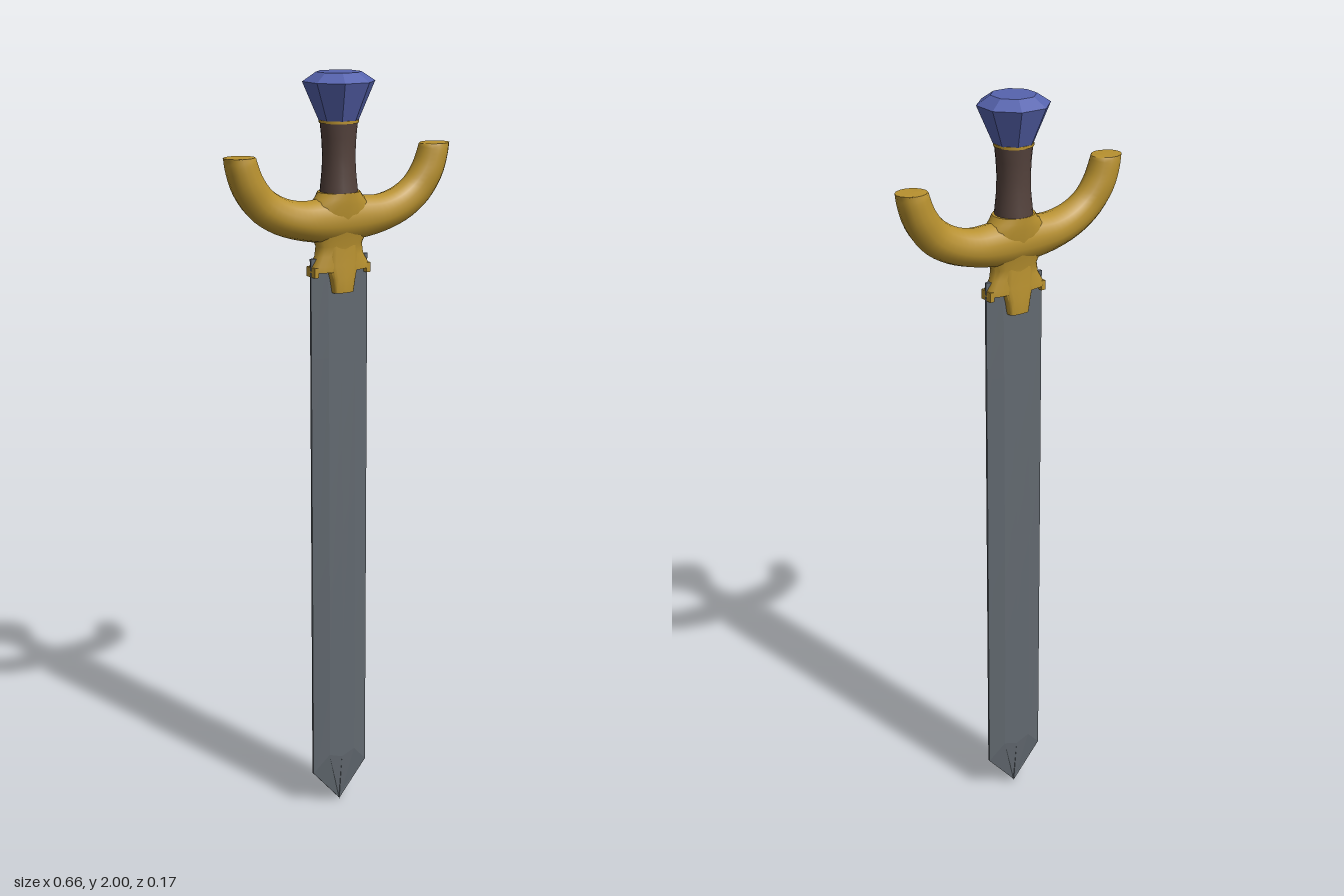
import * as THREE from 'three';
import { toCreasedNormals } from 'three/addons/utils/BufferGeometryUtils.js';

const CX = -0.004; // blade, grip and pommel axis

// Skin a list of equal-length point rings and cap both ends
function loft(rings, crease) {
  const n = rings[0].length, pos = [], index = [];
  rings.forEach(r => r.forEach(p => pos.push(p.x, p.y, p.z)));
  for (let i = 0; i < rings.length - 1; i++) {
    for (let j = 0; j < n; j++) {
      const a = i * n + j, b = i * n + (j + 1) % n;
      index.push(a, b, b + n, a, b + n, a + n);
    }
  }
  [0, rings.length - 1].forEach((ri, end) => {
    const c = rings[ri].reduce((s, p) => s.add(p), new THREE.Vector3()).divideScalar(n);
    const k = pos.length / 3;
    pos.push(c.x, c.y, c.z);
    for (let j = 0; j < n; j++) {
      const a = ri * n + j, b = ri * n + (j + 1) % n;
      if (end) index.push(k, a, b); else index.push(k, b, a);
    }
  });
  const g = new THREE.BufferGeometry();
  g.setAttribute('position', new THREE.Float32BufferAttribute(pos, 3));
  g.setIndex(index);
  return toCreasedNormals(g, crease);
}

// Horizontal rounded ring
function ovalRing(y, w, d, power = 1, n = 20) {
  const round = v => Math.sign(v) * Math.abs(v) ** power;
  return Array.from({ length: n }, (_, j) => {
    const a = j / n * Math.PI * 2;
    return new THREE.Vector3(CX + w * round(Math.sin(a)), y, d * round(Math.cos(a)));
  });
}

function lathe(points, sides, crease, phi = 0) {
  const g = new THREE.LatheGeometry(points.map(p => new THREE.Vector2(...p)), sides, phi);
  return toCreasedNormals(g, crease);
}

export function createModel() {
  const group = new THREE.Group();
  const material = (name, color) => {
    const m = new THREE.MeshStandardMaterial({ color });
    m.name = name;
    return m;
  };
  const steel = material('steel', 0x626970);
  const gold = material('gold', 0xb8912f);
  const leather = material('leather', 0x54423c);
  const blue = material('blue gem', 0x5663ae);
  const add = (name, geometry, mat, x = 0) => {
    const mesh = new THREE.Mesh(geometry, mat);
    mesh.name = name;
    mesh.position.x = x;
    group.add(mesh);
    return mesh;
  };

  // Blade: bevelled section, shallow ridge dip above the point
  const bladeRing = (edgeY, ridgeY, w, flat, t) => [
    [0, t, ridgeY - 0.015], [flat, t, ridgeY], [w, 0.003, edgeY], [w, -0.003, edgeY],
    [flat, -t, ridgeY], [0, -t, ridgeY - 0.015], [-flat, -t, ridgeY],
    [-w, -0.003, edgeY], [-w, 0.003, edgeY], [-flat, t, ridgeY],
  ].map(([x, z, y]) => new THREE.Vector3(x, y, z));
  add('blade', loft([
    bladeRing(0.003, 0.012, 0.002, 0.001, 0.002),
    bladeRing(0.1, 0.15, 0.085, 0.04, 0.016),
    bladeRing(0.44, 0.44, 0.085, 0.04, 0.018),
    bladeRing(1.28, 1.28, 0.085, 0.04, 0.016),
    bladeRing(1.54, 1.54, 0.085, 0.04, 0.013),
  ], 0.05), steel, CX);

  // Guard hub: flared socket rising to the grip collar
  add('guardHub', loft([
    ovalRing(1.505, 0.086, 0.03, 0.7),
    ovalRing(1.52, 0.083, 0.03, 0.7),
    ovalRing(1.545, 0.069, 0.029, 0.8),
    ovalRing(1.57, 0.066, 0.031, 0.9),
    ovalRing(1.6, 0.08, 0.038, 0.9),
    ovalRing(1.64, 0.095, 0.045),
    ovalRing(1.675, 0.083, 0.049),
    ovalRing(1.69, 0.067, 0.05),
    ovalRing(1.705, 0.056, 0.05),
  ], 0.8), gold);

  // Guard arms: one swept horn running tip to tip; x, y, half height, half depth
  const half = [
    [0.06, 1.635, 0.056, 0.046], [0.12, 1.64, 0.049, 0.046], [0.18, 1.658, 0.046, 0.041],
    [0.23, 1.69, 0.045, 0.037], [0.266, 1.737, 0.043, 0.041], [0.284, 1.785, 0.041, 0.04],
    [0.291, 1.82, 0.04, 0.035],
  ];
  const stations = [...half.map(([x, ...r]) => [-x, ...r]).reverse(), [0, 1.635, 0.06, 0.046], ...half];
  const path = new THREE.CatmullRomCurve3(stations.map(([x, y]) => new THREE.Vector3(x, y, 0)));
  const sizes = new THREE.CatmullRomCurve3(stations.map(s => new THREE.Vector3(s[2], s[3], 0)));
  const steps = 48, sides = 14;
  const armRings = [];
  for (let i = 0; i <= steps; i++) {
    const p = path.getPoint(i / steps), t = path.getTangent(i / steps), s = sizes.getPoint(i / steps);
    armRings.push(Array.from({ length: sides }, (_, j) => {
      const a = j / sides * Math.PI * 2, h = s.x * Math.cos(a);
      // level the tips
      return new THREE.Vector3(p.x - t.y * h, Math.min(p.y + t.x * h, 1.808), s.y * Math.sin(a));
    }));
  }
  add('guardArms', loft(armRings, 0.8), gold);

  // Tapered tongue clasping both faces of the blade
  const tongue = [[1.45, 0.03, 0.034], [1.485, 0.036, 0.035], [1.52, 0.046, 0.031], [1.58, 0.04, 0.03]];
  add('guardTongue', loft(tongue.map(([y, w, d]) => ovalRing(y, w, d, 0.45)), 0.6), gold);

  // Small hooks over the blade edges
  for (const side of [-1, 1]) {
    const hook = add('guardHook', new THREE.BoxGeometry(0.012, 0.025, 0.04), gold, CX + side * 0.078);
    hook.position.y = 1.506;
  }

  // Waisted grip
  add('grip', lathe([[0.05, 1.69], [0.047, 1.72], [0.043, 1.76], [0.042, 1.8], [0.044, 1.84], [0.048, 1.88]], 20, 0.8), leather, CX);

  // Thin ring under the pommel
  add('gripRing', lathe([[0, 1.876], [0.05, 1.876], [0.05, 1.883], [0, 1.883]], 20, 0.8), gold, CX);

  // Eight-sided flared pommel
  const k = 1 / Math.cos(Math.PI / 8);
  add('pommel', lathe([[0, 1.882], [0.047 * k, 1.882], [0.085 * k, 1.977], [0.053 * k, 2], [0, 2]], 8, 0.1, Math.PI / 8), blue, CX);

  return group;
}
